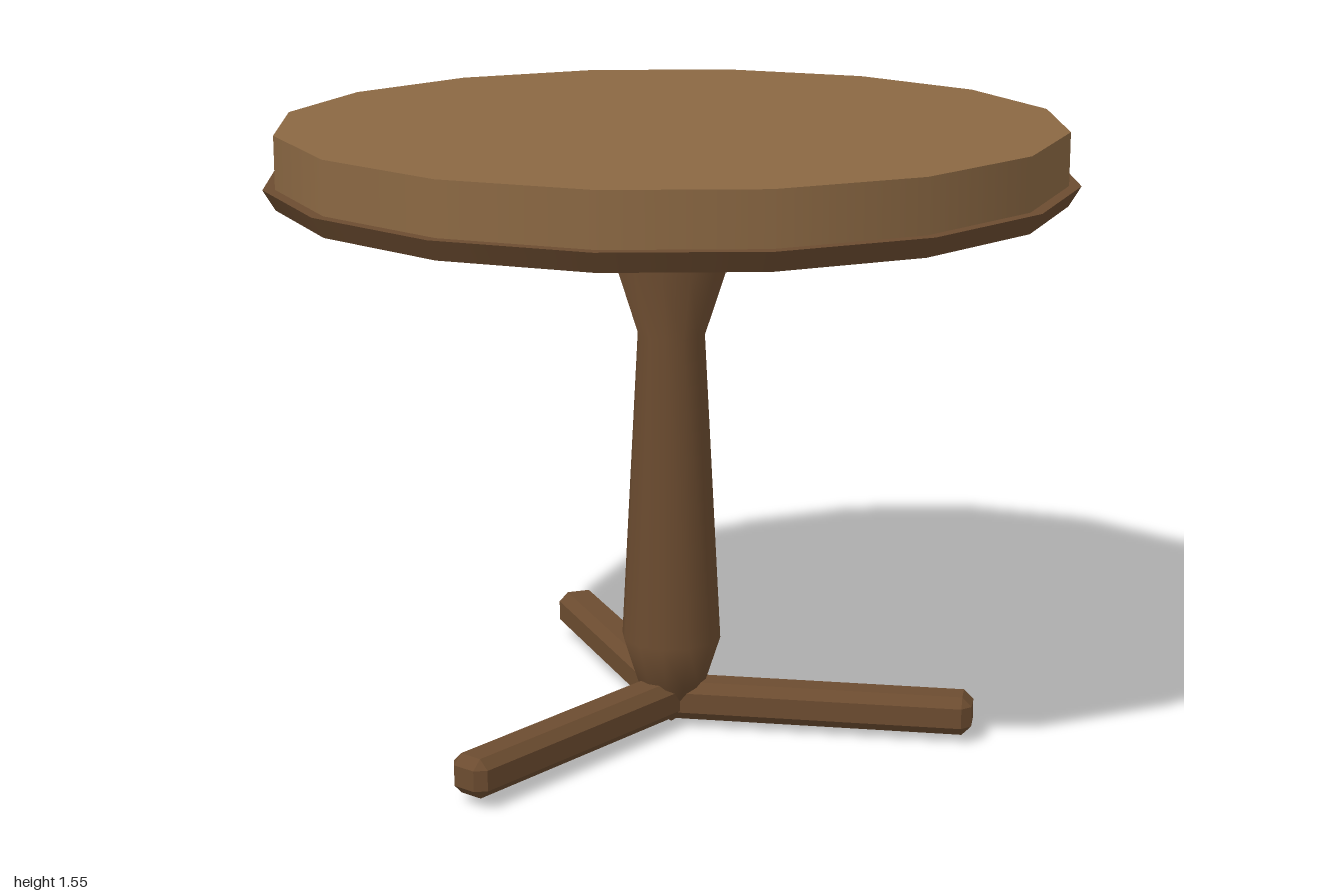
import * as THREE from 'three';
import { ConvexGeometry } from 'three/addons/geometries/ConvexGeometry.js';

const wood = new THREE.MeshStandardMaterial({ color: 0x8b6843 });
const darkWood = new THREE.MeshStandardMaterial({ color: 0x6c4c30 });

// Box with every edge cut at an angle; a, b, c are half sizes, d the cut
function chamferedBox(a, b, c, d) {
  const points = [];
  for (const x of [-1, 1]) for (const y of [-1, 1]) for (const z of [-1, 1]) {
    points.push(
      new THREE.Vector3(x * a, y * (b - d), z * (c - d)),
      new THREE.Vector3(x * (a - d), y * b, z * (c - d)),
      new THREE.Vector3(x * (a - d), y * (b - d), z * c));
  }
  return new ConvexGeometry(points);
}

export function createModel() {
  const group = new THREE.Group();
  const add = (name, geometry, material, y = 0) => {
    const mesh = new THREE.Mesh(geometry, material);
    mesh.name = name;
    mesh.position.y = y;
    group.add(mesh);
    return mesh;
  };

  // Sixteen-sided top with a flared lip beneath
  add('tableTop', new THREE.CylinderGeometry(0.97, 0.97, 0.13, 16), wood, 1.495);
  add('tableLip', new THREE.CylinderGeometry(1, 0.97, 0.05, 16), darkWood, 1.405);

  // Turned post, pointed at the foot
  const profile = [
    [0, 0.005], [0.035, 0.03], [0.09, 0.125], [0.127, 0.24],
    [0.085, 1.03], [0.14, 1.2], [0.104, 1.39],
  ].map(([r, y]) => new THREE.Vector2(r, y));
  add('post', new THREE.LatheGeometry(profile, 12), darkWood);

  // Three chamfered feet spread evenly, one toward +x
  const inner = -0.04, outer = 0.773;
  const footGeometry = chamferedBox((outer - inner) / 2, 0.05, 0.055, 0.024);
  footGeometry.translate((outer + inner) / 2, 0, 0);
  for (let i = 0; i < 3; i++) {
    const foot = add('foot' + (i + 1), footGeometry, darkWood, i === 0 ? 0.075 : 0.08);
    foot.rotation.y = (i * Math.PI * 2) / 3;
  }
  return group;
}
